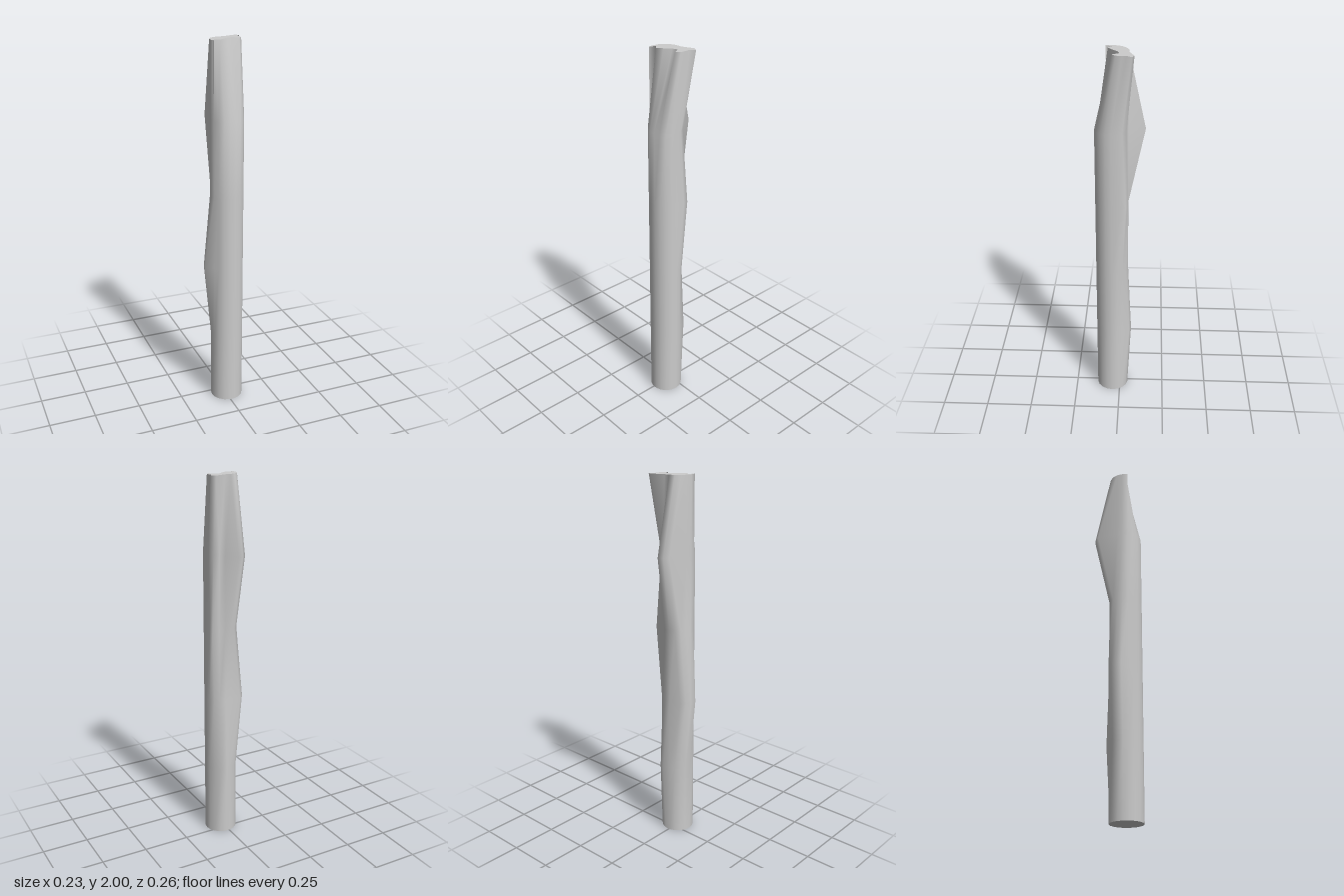
import * as THREE from 'three';

const SIDES = 18, RADIUS = 0.0875, CX = 0.009, CZ = 0.042, STEP = 0.4;

// Pushed corners per ring: corner index -> [dx, dz]; corners run from +z towards +x
const BULGES = [
  {},
  { 7: [0, -0.02], 8: [0, -0.02] },
  { 10: [-0.038, 0], 11: [-0.038, 0], 12: [-0.038, 0], 13: [-0.038, 0] },
  { 5: [0.006, -0.02], 6: [0.018, -0.02], 7: [0.006, -0.008] },
  { 9: [0, -0.086], 10: [0, -0.086], 11: [0, -0.086] },
  {
    0: [0, -0.118], 1: [0, -0.118], 2: [0, -0.06], 3: [0.003, -0.055], 4: [0, -0.054],
    5: [0.003, -0.047], 6: [0.039, -0.046], 7: [0.038, -0.038],
    15: [0, -0.058], 16: [0, -0.058], 17: [0, -0.09],
  },
];

function ringPoints(bulge) {
  return Array.from({ length: SIDES }, (_, j) => {
    const a = ((j + 0.5) / SIDES) * Math.PI * 2;
    const [dx, dz] = bulge[j] || [0, 0];
    return [CX + RADIUS * Math.sin(a) + dx, CZ + RADIUS * Math.cos(a) + dz];
  });
}

// Smooth wall joining the rings
function wallGeometry(rings) {
  const positions = [], index = [];
  rings.forEach((ring, i) => ring.forEach(([x, z], j) => {
    positions.push(x, i * STEP, z);
    if (i === rings.length - 1) return;
    const k = (j + 1) % SIDES;
    const a = i * SIDES + j, b = i * SIDES + k, c = b + SIDES, d = a + SIDES;
    index.push(a, b, c, a, c, d);
  }));
  const geometry = new THREE.BufferGeometry();
  geometry.setAttribute('position', new THREE.Float32BufferAttribute(positions, 3));
  geometry.setIndex(index);
  geometry.computeVertexNormals();
  return geometry;
}

// Flat end following a ring; facing is 1 for up, -1 for down
function capGeometry(ring, y, facing) {
  const shape = new THREE.Shape(ring.map(([x, z]) => new THREE.Vector2(x, -facing * z)));
  return new THREE.ShapeGeometry(shape).rotateX(-facing * Math.PI / 2).translate(0, y, 0);
}

export function createModel() {
  const group = new THREE.Group();
  group.name = 'bentPost';
  const material = new THREE.MeshStandardMaterial({ color: 0xcccccc, side: THREE.DoubleSide });
  const rings = BULGES.map(ringPoints);
  const add = (name, geometry) => {
    const mesh = new THREE.Mesh(geometry, material);
    mesh.name = name;
    group.add(mesh);
  };
  add('shaft', wallGeometry(rings));
  add('bottomEnd', capGeometry(rings[0], 0, -1));
  add('topEnd', capGeometry(rings[rings.length - 1], (rings.length - 1) * STEP, 1));
  return group;
}
